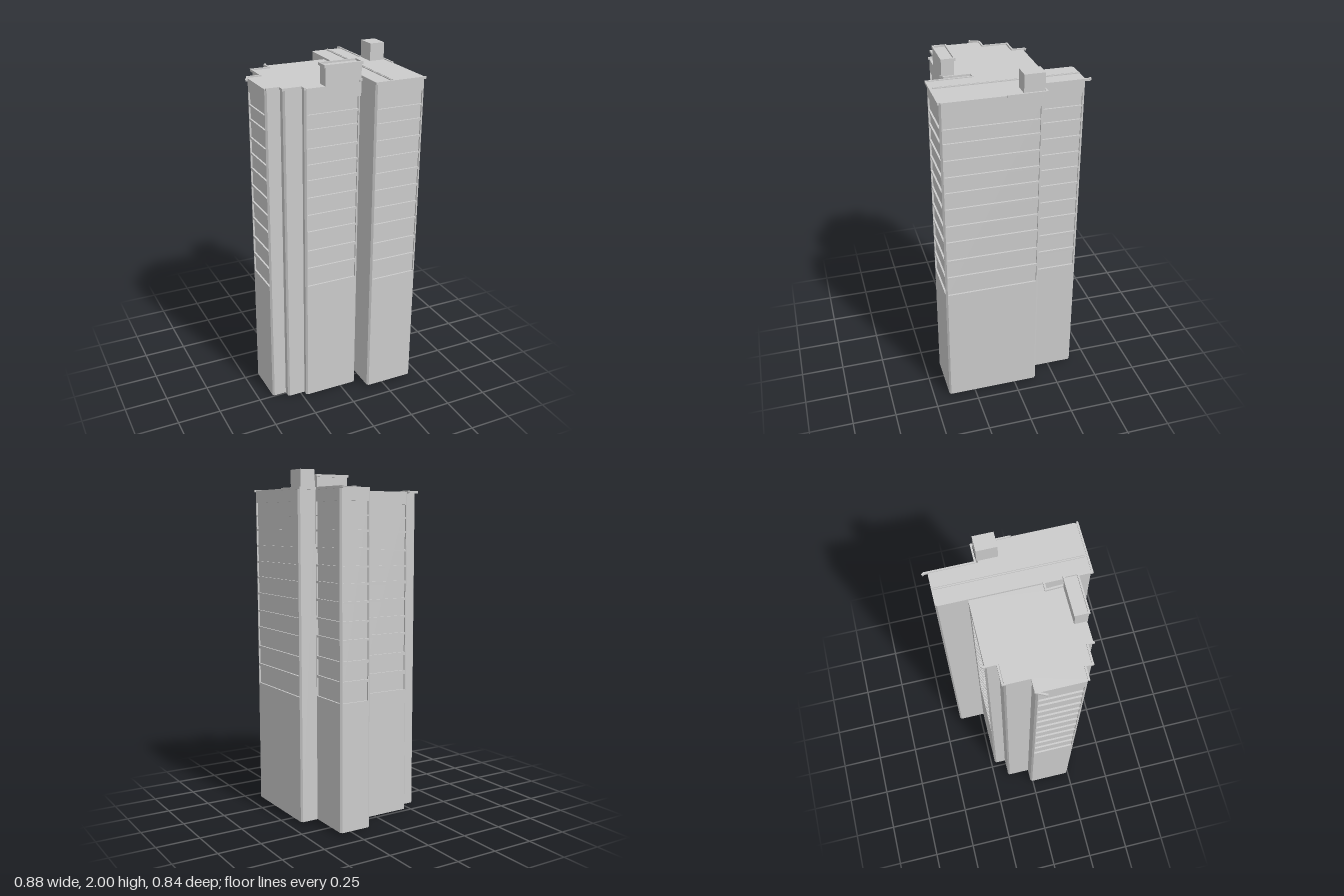
import * as THREE from 'three';

const mat = new THREE.MeshStandardMaterial({ color: 0xcccccc, flatShading: true, side: THREE.DoubleSide });
const DEPTH = 0.01;

// Outlines as [x, z], running anticlockwise seen from above
const mainOutline = [
  [0.14, -0.225], [-0.225, -0.225], [-0.225, -0.155], [-0.33, -0.155], [-0.33, -0.015],
  [-0.412, -0.015], [-0.412, 0.245], [-0.33, 0.245], [-0.33, 0.287], [-0.225, 0.287],
  [-0.225, 0.32], [0.1, 0.32], [0.1, 0.162], [0.14, 0.162],
];
const wingOutline = [
  [0.14, 0.162], [0.14, 0.41], [0.435, 0.41], [0.435, -0.13],
  [0.33, -0.13], [0.33, -0.392], [0.14, -0.392], [0.14, -0.225],
];
// Bottom and top of each recessed storey band
const mainFloors = [[0.74, 0.832], [0.855, 0.945], [0.963, 1.067], [1.08, 1.167], [1.18, 1.27], [1.282, 1.365],
  [1.383, 1.46], [1.472, 1.55], [1.562, 1.655], [1.667, 1.735], [1.747, 1.815]];
const wingFloors = [[0.745, 0.85], [0.865, 0.957], [0.975, 1.08], [1.092, 1.18], [1.192, 1.285], [1.297, 1.383],
  [1.395, 1.475], [1.487, 1.57], [1.582, 1.665], [1.677, 1.749], [1.756, 1.828]];

function add(parent, name, geometry, x = 0, y = 0, z = 0) {
  const mesh = new THREE.Mesh(geometry, mat);
  mesh.name = name;
  mesh.position.set(x, y, z);
  parent.add(mesh);
  return mesh;
}

function box(parent, name, x0, x1, y0, y1, z0, z1) {
  return add(parent, name, new THREE.BoxGeometry(x1 - x0, y1 - y0, z1 - z0),
    (x0 + x1) / 2, (y0 + y1) / 2, (z0 + z1) / 2);
}

function rect(Type, x0, y0, x1, y1) {
  const p = new Type();
  p.moveTo(x0, y0);
  p.lineTo(x1, y0);
  p.lineTo(x1, y1);
  p.lineTo(x0, y1);
  p.closePath();
  return p;
}

// Cuts convex corners; keeps the index of the face that starts at each point
function chamfer(points, c = 0.01) {
  const out = [];
  points.forEach((p, i) => {
    const a = points[i - 1], b = points[i + 1];
    if (!a || !b) return out.push({ p, face: i });
    const v = new THREE.Vector2(...p);
    const d1 = new THREE.Vector2(...p).sub(new THREE.Vector2(...a)).normalize();
    const d2 = new THREE.Vector2(...b).sub(v).normalize();
    if (d1.cross(d2) > 0) return out.push({ p, face: i });
    out.push({ p: v.clone().addScaledVector(d1, -c).toArray(), face: -1 });
    out.push({ p: v.clone().addScaledVector(d2, c).toArray(), face: i });
  });
  return out;
}

// One wall slab with its outer face on the line a-b and optional recessed bands
function wall(parent, a, b, y0, y1, floors, startMargin) {
  const dx = b[0] - a[0], dz = b[1] - a[1], len = Math.hypot(dx, dz);
  const g = new THREE.Group();
  g.name = floors ? 'bandedFacade' : 'plainWall';
  g.position.set(a[0], 0, a[1]);
  g.rotation.y = Math.atan2(-dz, dx);
  parent.add(g);
  if (!floors) {
    add(g, 'wallFace', new THREE.PlaneGeometry(len, y1 - y0), len / 2, (y0 + y1) / 2, 0);
    return;
  }
  const shape = rect(THREE.Shape, 0, y0, len, y1);
  const end = len - 0.004;
  for (const [f0, f1] of floors) shape.holes.push(rect(THREE.Path, startMargin, f0, end, f1));
  add(g, 'wallFace', new THREE.ExtrudeGeometry(shape, { depth: DEPTH, bevelEnabled: false }), 0, 0, -DEPTH);
  const low = floors[0][0], high = floors[floors.length - 1][1];
  add(g, 'recessedPanels', new THREE.PlaneGeometry(end - startMargin, high - low),
    (startMargin + end) / 2, (low + high) / 2, -DEPTH);
}

// Walls around an outline; banded maps a face index to its starting margin
function shell(name, outline, y0, y1, floors, banded) {
  const g = new THREE.Group();
  g.name = name;
  const pts = chamfer(outline);
  for (let i = 0; i < pts.length - 1; i++) {
    const margin = banded[pts[i].face];
    wall(g, pts[i].p, pts[i + 1].p, y0, y1, margin === undefined ? null : floors, margin);
  }
  const shape = new THREE.Shape(pts.map(({ p }) => new THREE.Vector2(p[0], -p[1])));
  const roof = new THREE.ExtrudeGeometry(shape, { depth: 0.012, bevelEnabled: false });
  roof.rotateX(-Math.PI / 2);
  add(g, 'roof', roof, 0, y1 - 0.011, 0);
  return g;
}

// Thin roof-edge moulding along a path of [x, z] points
function trim(parent, path, y, h = 0.013, w = 0.01) {
  for (let i = 0; i < path.length - 1; i++) {
    const [ax, az] = path[i], [bx, bz] = path[i + 1];
    const len = Math.hypot(bx - ax, bz - az);
    const m = add(parent, 'roofTrim', new THREE.BoxGeometry(len + w * 0.9, h, w), (ax + bx) / 2, y, (az + bz) / 2);
    m.rotation.y = Math.atan2(az - bz, bx - ax);
  }
}

export function createModel() {
  const model = new THREE.Group();
  model.name = 'towerBlock';

  // Two joined volumes, open underneath
  model.add(shell('mainBlock', mainOutline, 0, 1.887, mainFloors, { 0: 0.045, 5: 0.004, 10: 0.004 }));
  model.add(shell('sideWing', wingOutline, 0.015, 1.9, wingFloors, { 1: 0.004, 2: 0.004, 4: 0.004, 5: 0.004 }));

  // Roof-edge mouldings
  const trims = new THREE.Group();
  trims.name = 'roofTrims';
  model.add(trims);
  trim(trims, [[-0.433, 0.034], [-0.408, -0.017], [-0.333, -0.017], [-0.333, -0.162], [-0.225, -0.162], [-0.225, -0.232], [-0.22, -0.238]], 1.889);
  trim(trims, [[-0.405, 0.247], [-0.333, 0.247], [-0.333, 0.287], [-0.225, 0.287], [-0.225, 0.32]], 1.889);
  trim(trims, [[0.09, 0.322], [0.105, 0.31], [0.1, 0.162], [0.14, 0.162], [0.14, 0.414], [0.433, 0.414]], 1.899);
  trim(trims, [[0.328, -0.417], [0.333, -0.41], [0.333, -0.146], [0.435, -0.146], [0.435, 0.058]], 1.899);

  // Paired ridge strips along the wing roof
  for (const x of [0.231, 0.241]) box(model, 'roofStrip', x, x + 0.006, 1.9, 1.906, -0.39, 0.4);

  // Front penthouse with a projecting cap rim
  box(model, 'penthouse', -0.108, 0.1, 1.815, 1.99, 0.253, 0.322);
  const rim = new THREE.Group();
  rim.name = 'penthouseRim';
  model.add(rim);
  for (const z of [0.245, 0.316]) box(rim, 'rimLong', -0.115, 0.108, 1.985, 2, z, z + 0.009);
  for (const x of [-0.115, 0.099]) box(rim, 'rimShort', x, x + 0.009, 1.985, 2, 0.245, 0.325);

  // Small plant room at the side
  box(model, 'plantRoom', 0.338, 0.426, 1.895, 2, -0.138, -0.026);
  return model;
}
